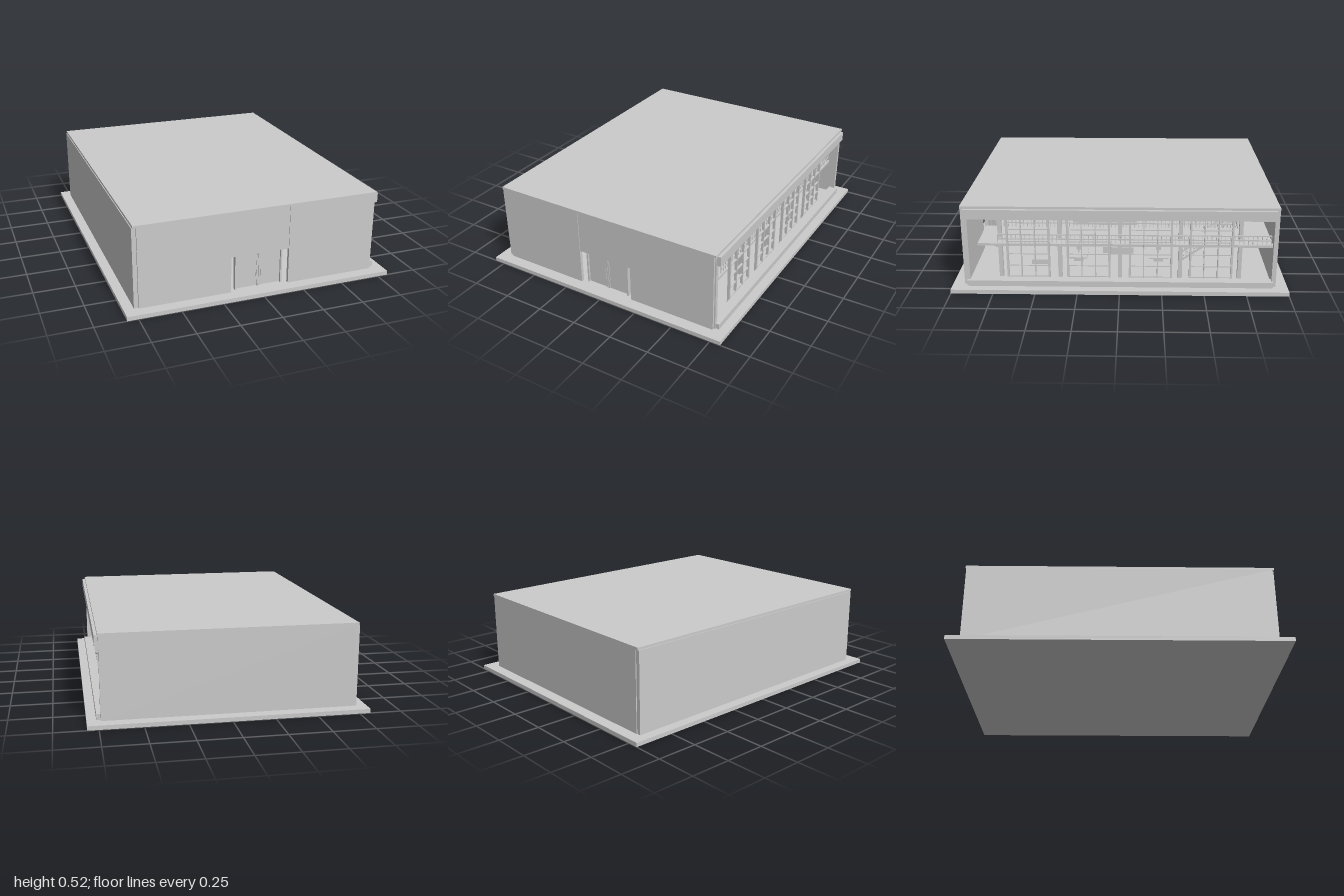
import * as THREE from 'three';

const material = new THREE.MeshStandardMaterial({ color: 0xcccccc, side: THREE.DoubleSide });

export function createModel() {
  const model = new THREE.Group();

  // Box given by its extents on each axis
  const box = (name, [x0, x1], [y0, y1], [z0, z1], parent = model) => {
    const mesh = new THREE.Mesh(new THREE.BoxGeometry(x1 - x0, y1 - y0, z1 - z0), material);
    mesh.position.set((x0 + x1) / 2, (y0 + y1) / 2, (z0 + z1) / 2);
    mesh.name = name;
    parent.add(mesh);
    return mesh;
  };
  // Square bar between two points
  const bar = (name, a, b, t, parent) => {
    const from = new THREE.Vector3(...a), to = new THREE.Vector3(...b);
    const mesh = new THREE.Mesh(new THREE.BoxGeometry(t, t, from.distanceTo(to)), material);
    mesh.position.copy(from).add(to).multiplyScalar(0.5);
    mesh.lookAt(to);
    mesh.name = name;
    parent.add(mesh);
  };
  const group = (name) => {
    const g = new THREE.Group();
    g.name = name;
    model.add(g);
    return g;
  };

  // Shell
  box('baseSlab', [-0.815, 0.815], [0, 0.025], [-1, 1]);
  box('roof', [-0.75, 0.742], [0.51, 0.525], [-0.93, 0.93]);
  box('leftWall', [-0.755, -0.73], [0.025, 0.51], [-0.925, 0.92]);
  box('backWall', [-0.73, 0.735], [0.025, 0.51], [-0.93, -0.91]);
  for (const s of [-1, 1]) {
    const xs = [s * 0.18, s * 0.73].sort((a, b) => a - b);
    box('frontWall', xs, [0.025, 0.51], [0.91, 0.93]);
  }
  box('frontWallOverDoor', [-0.18, 0.18], [0.245, 0.51], [0.908, 0.926]);
  for (const z of [-0.915, 0.905]) box('cornerPost', [0.715, 0.738], [0.025, 0.51], [z - 0.012, z + 0.012]);
  box('windowHeader', [0.7, 0.76], [0.45, 0.51], [-0.91, 0.91]);
  box('windowSill', [0.7, 0.76], [0.025, 0.06], [-0.91, 0.91]);

  // Entrance doors with frames and pull handles
  const entrance = group('entrance');
  for (const s of [-1, 1]) {
    const span = (a, b) => [s * a, s * b].sort((p, q) => p - q);
    box('doorLeaf', span(0.008, 0.138), [0.027, 0.24], [0.892, 0.898], entrance);
    box('doorJamb', span(0.138, 0.148), [0.025, 0.245], [0.885, 0.91], entrance);
    box('doorStile', span(0.001, 0.009), [0.025, 0.245], [0.889, 0.903], entrance);
    box('doorHandle', span(0.012, 0.016), [0.09, 0.16], [0.904, 0.908], entrance);
    box('planter', span(0.158, 0.176), [0.025, 0.07], [0.82, 0.84], entrance);
  }

  // Glazing frames: four bays of three columns along the open side
  const glazing = group('glazing');
  for (const start of [0.67, 0.31, -0.06, -0.42]) {
    for (let i = 0; i <= 3; i++) {
      const z = start - i * 0.0825, t = i % 3 ? 0.003 : 0.006;
      box('mullion', [0.685, 0.702], [0.025, 0.46], [z - t, z + t], glazing);
    }
    for (const y of [0.064, 0.135, 0.21, 0.29, 0.367, 0.446])
      box('transom', [0.688, 0.7], [y - 0.003, y + 0.003], [start - 0.2475, start], glazing);
  }
  for (const z of [0.725, 0.0, -0.365, 0.365, -0.725])
    box('column', [0.6, 0.625], [0.025, 0.51], [z - 0.012, z + 0.012], glazing);

  // Upper gallery along the open side and the back
  const gallery = group('gallery');
  box('galleryFloor', [0.4, 0.68], [0.252, 0.268], [-0.91, 0.85], gallery);
  box('galleryBackFloor', [-0.73, 0.4], [0.252, 0.268], [-0.91, -0.72], gallery);
  const railing = (a, b, n) => {
    const at = (t, y) => [a[0] + (b[0] - a[0]) * t, y, a[1] + (b[1] - a[1]) * t];
    for (let i = 0; i <= n; i++) bar('baluster', at(i / n, 0.265), at(i / n, 0.322), 0.004, gallery);
    for (const y of [0.295, 0.322]) bar('handrail', at(0, y), at(1, y), 0.007, gallery);
  };
  railing([0.41, 0.73], [0.41, -0.71], 60);
  railing([0.67, 0.73], [0.67, -0.9], 60);
  railing([0.41, -0.73], [-0.72, -0.73], 40);

  // Staircase rising towards the back
  const stairs = group('staircase');
  const steps = 14;
  for (let i = 0; i < steps; i++) {
    const z = -0.38 - i * 0.023, y = 0.04 + i * 0.0163;
    box('step', [0.25, 0.38], [y - 0.006, y], [z - 0.025, z], stairs);
    for (const x of [0.252, 0.378]) bar('stairBaluster', [x, y, z - 0.012], [x, y + 0.05, z - 0.012], 0.004, stairs);
  }
  for (const x of [0.252, 0.378]) {
    bar('stairStringer', [x, 0.03, -0.38], [x, 0.25, -0.7], 0.01, stairs);
    bar('stairHandrail', [x, 0.09, -0.39], [x, 0.3, -0.69], 0.006, stairs);
  }

  // Hanging light rigs
  const lights = group('ceilingLights');
  for (const z of [0.365, -0.225]) {
    for (const x of [-0.3, 0.2]) {
      box('lightBar', [x - 0.01, x + 0.01], [0.366, 0.376], [z - 0.13, z + 0.13], lights);
      for (const s of [-1, 1])
        bar('lightHanger', [x, 0.372, z + s * 0.08], [x, 0.51, z + s * 0.02], 0.004, lights);
    }
  }

  // Furniture on the ground floor
  const furniture = group('furniture');
  box('hangingPanel', [0.1, 0.13], [0.172, 0.208], [-0.1, 0.325], furniture);
  for (const z of [-0.05, 0.28]) bar('panelHanger', [0.115, 0.2, z], [0.115, 0.51, z], 0.004, furniture);
  for (const z of [0.27, -0.24]) {
    box('tableTop', [0.3, 0.45], [0.07, 0.078], [z - 0.06, z + 0.06], furniture);
    box('tableLeg', [0.36, 0.39], [0.025, 0.07], [z - 0.03, z + 0.03], furniture);
    box('screen', [0.37, 0.375], [0.1, 0.13], [z - 0.015, z + 0.015], furniture);
    box('screenStand', [0.37, 0.375], [0.078, 0.1], [z - 0.004, z + 0.004], furniture);
  }
  box('bench', [0.4, 0.46], [0.025, 0.065], [0.46, 0.56], furniture);
  box('counter', [0.2, 0.28], [0.025, 0.075], [-0.08, 0.12], furniture);

  return model;
}
